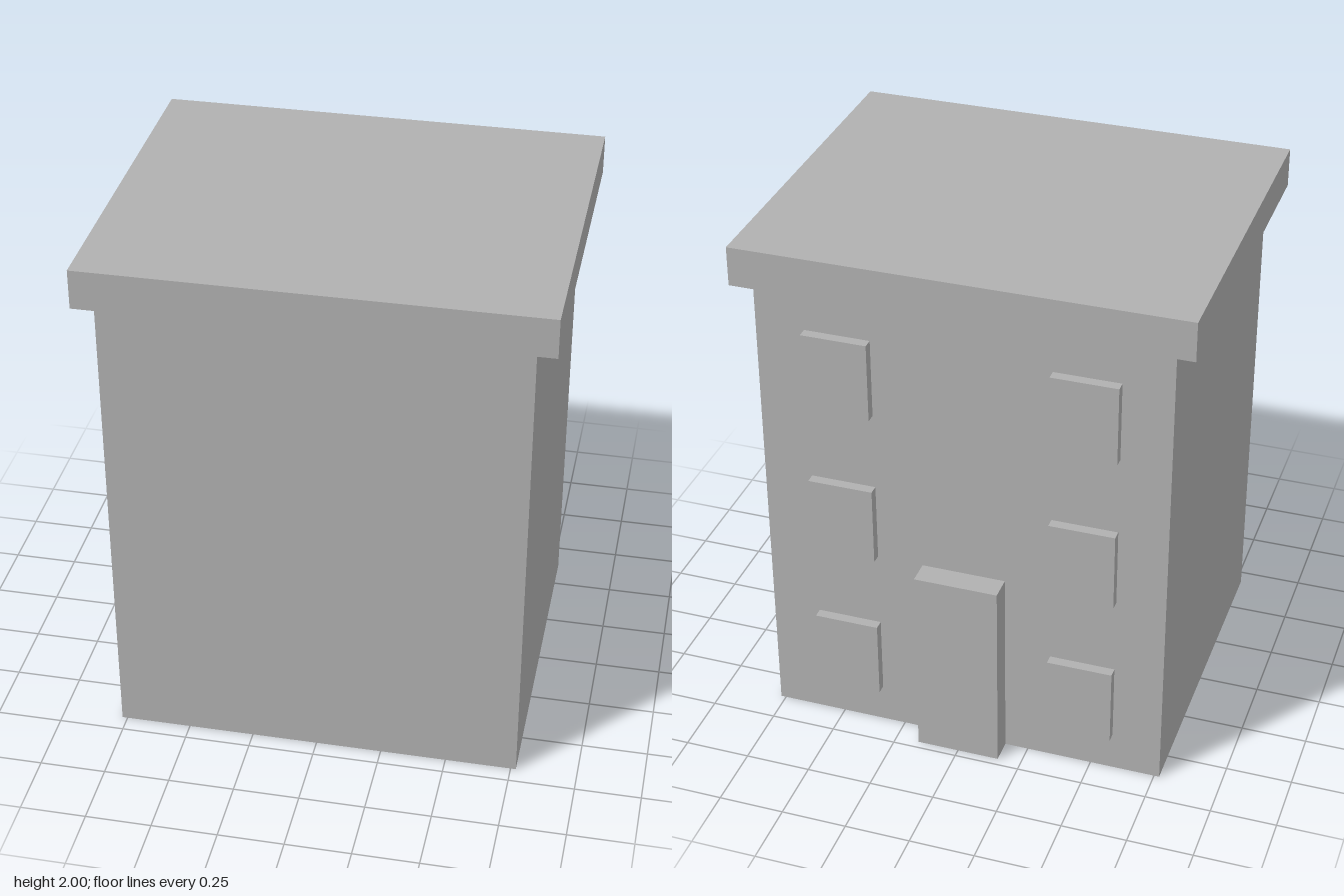
import * as THREE from 'three';

export function createModel() {
  const building = new THREE.Group();
  building.name = 'building';

  const plaster = new THREE.MeshStandardMaterial({ color: 0xb0b0b0 });
  plaster.name = 'plain grey';

  // Box given by its lower and upper bounds on each axis
  function block(name, [x0, x1], [y0, y1], [z0, z1]) {
    const mesh = new THREE.Mesh(new THREE.BoxGeometry(x1 - x0, y1 - y0, z1 - z0), plaster);
    mesh.position.set((x0 + x1) / 2, (y0 + y1) / 2, (z0 + z1) / 2);
    mesh.name = name;
    building.add(mesh);
  }

  const wallZ = -0.625; // wall that carries the door and windows

  block('walls', [-0.77, 0.77], [0, 1.85], [wallZ, 0.683]);
  block('roofSlab', [-0.845, 0.845], [1.85, 2], [-0.664, 0.718]);
  block('door', [-0.16, 0.16], [0, 0.77], [-0.718, wallZ]);

  // Three storeys of windows, one column on each side of the door
  for (const [floor, sill] of [0.157, 0.771, 1.386].entries()) {
    for (const side of [-1, 1]) {
      const x = side * 0.46;
      const name = `${side > 0 ? 'left' : 'right'}Window${floor + 1}`;
      block(name, [x - 0.124, x + 0.124], [sill, sill + 0.309], [-0.664, wallZ]);
    }
  }

  return building;
}
